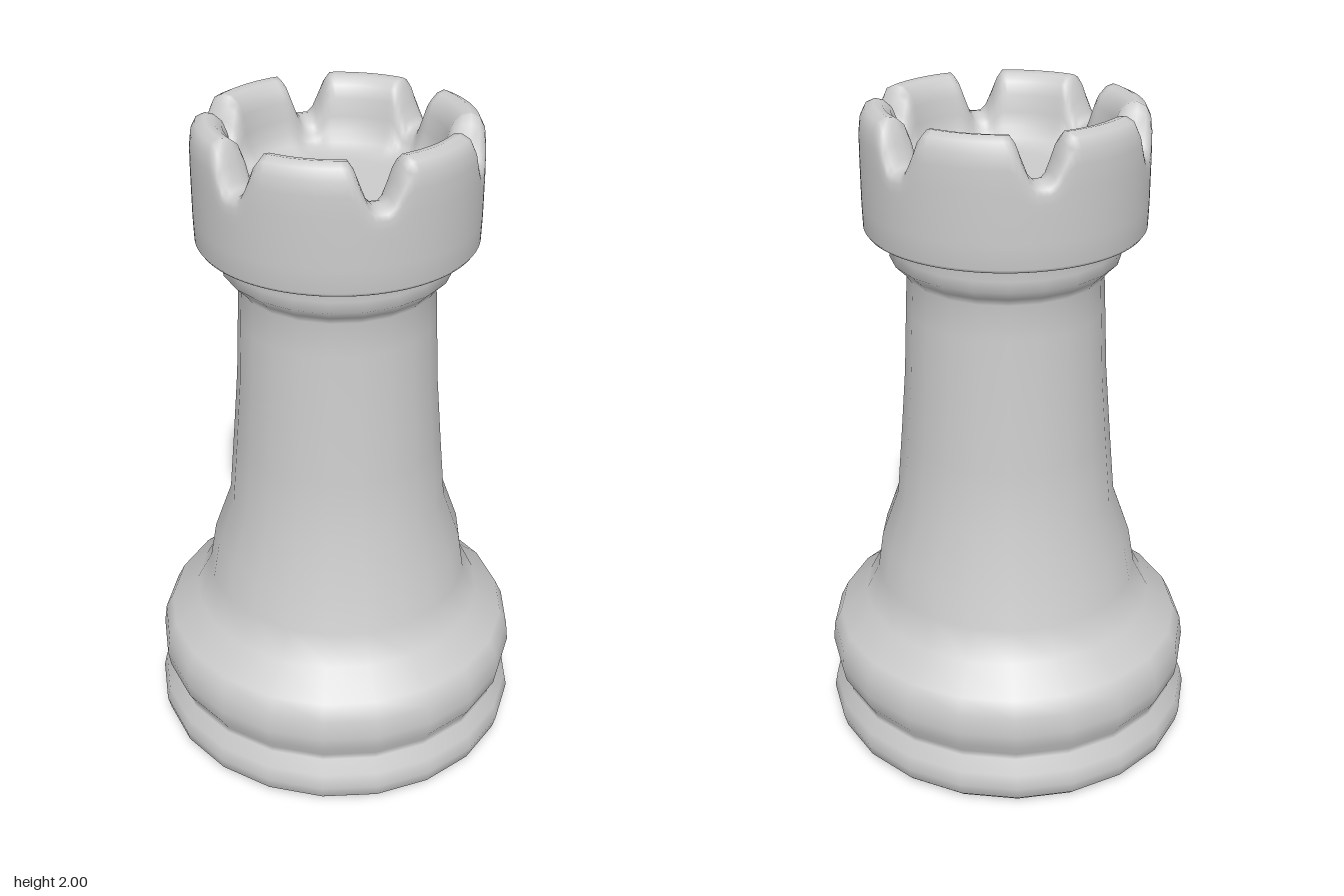
import * as THREE from 'three';
import { mergeVertices } from 'three/addons/utils/BufferGeometryUtils.js';

const material = new THREE.MeshStandardMaterial({ color: 0xcccccc });

// Spins [radius, height] points round the y axis, lets a rule move each vertex, then smooths it
function turned(profile, sides, start, rule) {
  const points = profile.map(([r, y]) => new THREE.Vector2(r, y));
  const lathe = new THREE.LatheGeometry(points, sides, start);
  const pos = lathe.attributes.position;
  const v = new THREE.Vector3();
  for (let i = 0; i < pos.count; i++) {
    v.fromBufferAttribute(pos, i);
    rule(v);
    pos.setXYZ(i, v.x, v.y, v.z);
  }
  lathe.deleteAttribute('uv');
  lathe.deleteAttribute('normal');
  const geometry = mergeVertices(lathe);
  geometry.computeVertexNormals();
  return geometry;
}

export function createModel() {
  const group = new THREE.Group();
  const add = (name, geometry) => {
    const mesh = new THREE.Mesh(geometry, material);
    mesh.name = name;
    group.add(mesh);
    return mesh;
  };

  const SIDES = 21, START = 0.088, LEAN = -0.014;

  // Foot, bulge, tapering column and collar; the foot is a little shallow and the column sits slightly back
  const bodyProfile = [
    [0.555, 0], [0.575, 0.02], [0.585, 0.06], [0.575, 0.105], [0.545, 0.145], [0.545, 0.165],
    [0.565, 0.2], [0.573, 0.25], [0.565, 0.31], [0.54, 0.36], [0.455, 0.43], [0.408, 0.52],
    [0.388, 0.64], [0.335, 0.79], [0.317, 1.0], [0.301, 1.2], [0.292, 1.4], [0.287, 1.505],
    [0.305, 1.53], [0.335, 1.56], [0.33, 1.59], [0.338, 1.65],
  ];
  add('body', turned(bodyProfile, SIDES, START, (v) => {
    const t = Math.min(1, v.y / 0.6);
    v.z = v.z * (0.975 + 0.025 * t) + LEAN * t;
  }));

  // Flat underside
  const underside = add('underside', new THREE.CircleGeometry(0.555, SIDES, START - Math.PI / 2));
  underside.rotation.x = Math.PI / 2;
  underside.scale.y = 0.975;

  // Crown: a thick-walled cup whose rim is pressed down at six notches
  const crownProfile = [
    [0.3, 1.64], [0.375, 1.638], [0.398, 1.642], [0.405, 1.652], [0.407, 1.72], [0.407, 1.8],
    [0.407, 1.86], [0.406, 1.92], [0.401, 1.96], [0.387, 1.988], [0.362, 2.0], [0.338, 1.995],
    [0.315, 1.975], [0.301, 1.94], [0.293, 1.89], [0.284, 1.85], [0.265, 1.82], [0.23, 1.803],
    [0.18, 1.8], [0, 1.8],
  ];
  const FLOOR = 1.8, STEP = Math.PI / 3;
  const crown = add('crown', turned(crownProfile, 144, 0, (v) => {
    if (v.y <= FLOOR) return;
    const angle = Math.atan2(v.x, v.z);
    const offset = Math.abs(angle - Math.round(angle / STEP) * STEP);
    const notch = 1 - THREE.MathUtils.smoothstep(offset * 0.38, 0.018, 0.085);
    v.y = FLOOR + (v.y - FLOOR) * (1 - 0.6 * notch);
  }));
  crown.position.z = LEAN;

  return group;
}
